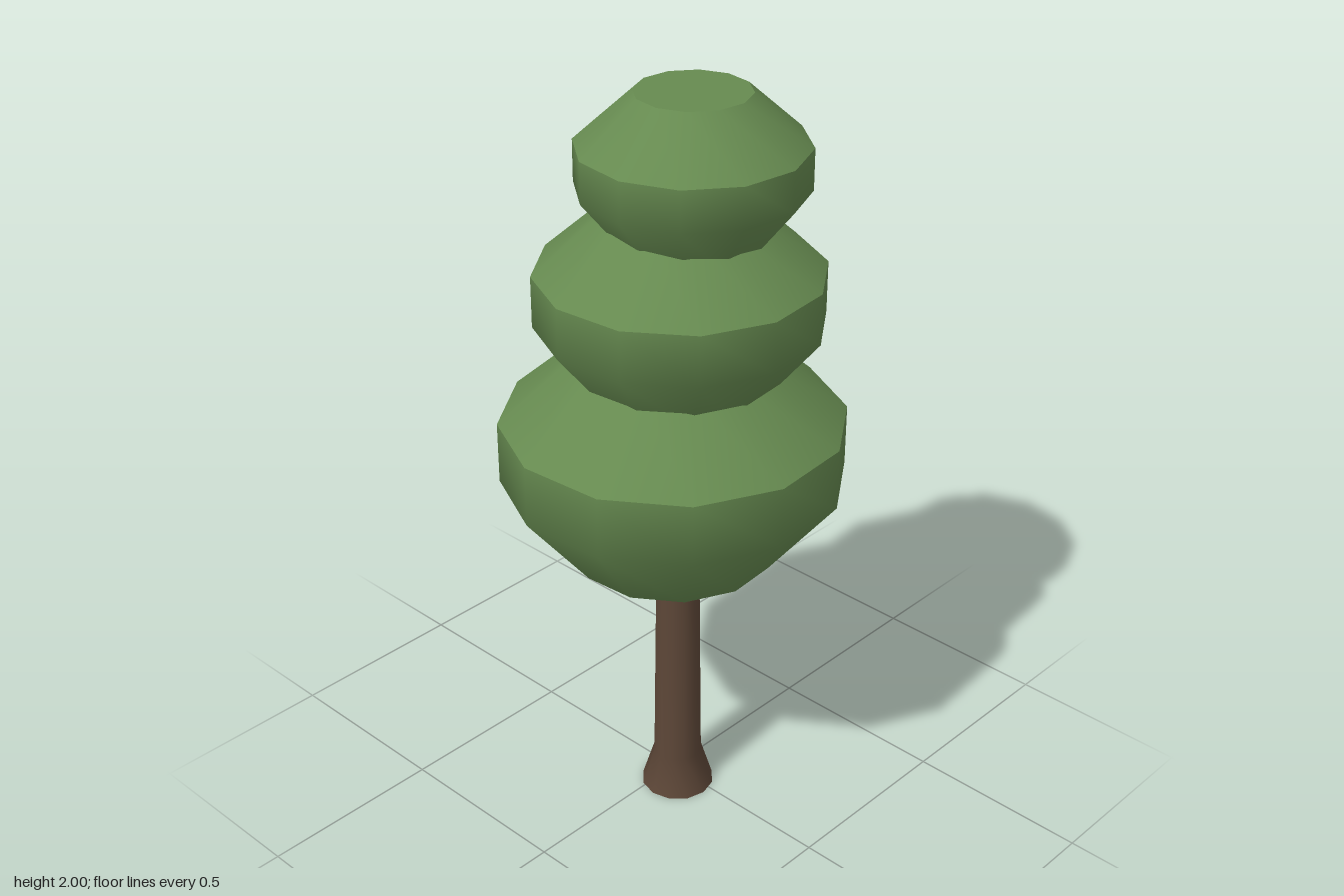
import * as THREE from 'three';

const foliage = new THREE.MeshStandardMaterial({ color: 0x668a50 });
foliage.name = 'leaf green';
const bark = new THREE.MeshStandardMaterial({ color: 0x5c4637, side: THREE.DoubleSide });
bark.name = 'bark brown';

const SIDES = 12;

// One smooth 12-sided surface of revolution; points run bottom to top
function ring(name, profile, material, turn = 0) {
  const points = profile.map(([r, y]) => new THREE.Vector2(r, y));
  const geometry = new THREE.LatheGeometry(points, SIDES, THREE.MathUtils.degToRad(turn));
  const mesh = new THREE.Mesh(geometry, material);
  mesh.name = name;
  return mesh;
}

// A foliage tier: every tier has the same profile, scaled; y = 0 is the sharp shoulder
function makeTier(name, x, y, z, radius, turn) {
  const tier = new THREE.Group();
  tier.name = name;
  const bottom = [0.6, -0.875], belly = [1, -0.37], shoulder = [1, 0], top = [0.5, 0.453];
  const strips = {
    Underside: [[0, bottom[1]], bottom],
    Body: [bottom, belly, shoulder],
    Slope: [shoulder, top],
    Top: [top, [0, top[1]]],
  };
  for (const [part, profile] of Object.entries(strips)) {
    const scaled = profile.map(([r, h]) => [r * radius, h * radius]);
    tier.add(ring(name + part, scaled, foliage, turn));
  }
  tier.position.set(x, y, z);
  return tier;
}

export function createModel() {
  const tree = new THREE.Group();
  tree.name = 'tree';

  // Flared trunk, open at the foot
  const trunk = ring('trunk', [[0.099, 0], [0.066, 0.11], [0.057, 0.8]], bark);
  trunk.position.set(-0.026, 0, 0.041);
  tree.add(trunk);

  // Three stacked tiers, each slightly shifted and turned
  tree.add(makeTier('lowerFoliage', 0, 1.13, 0, 0.447, -10.4));
  tree.add(makeTier('middleFoliage', 0.008, 1.54, 0.016, 0.366, -9.3));
  tree.add(makeTier('upperFoliage', 0.017, 1.87, 0.047, 0.287, 7.4));
  return tree;
}
